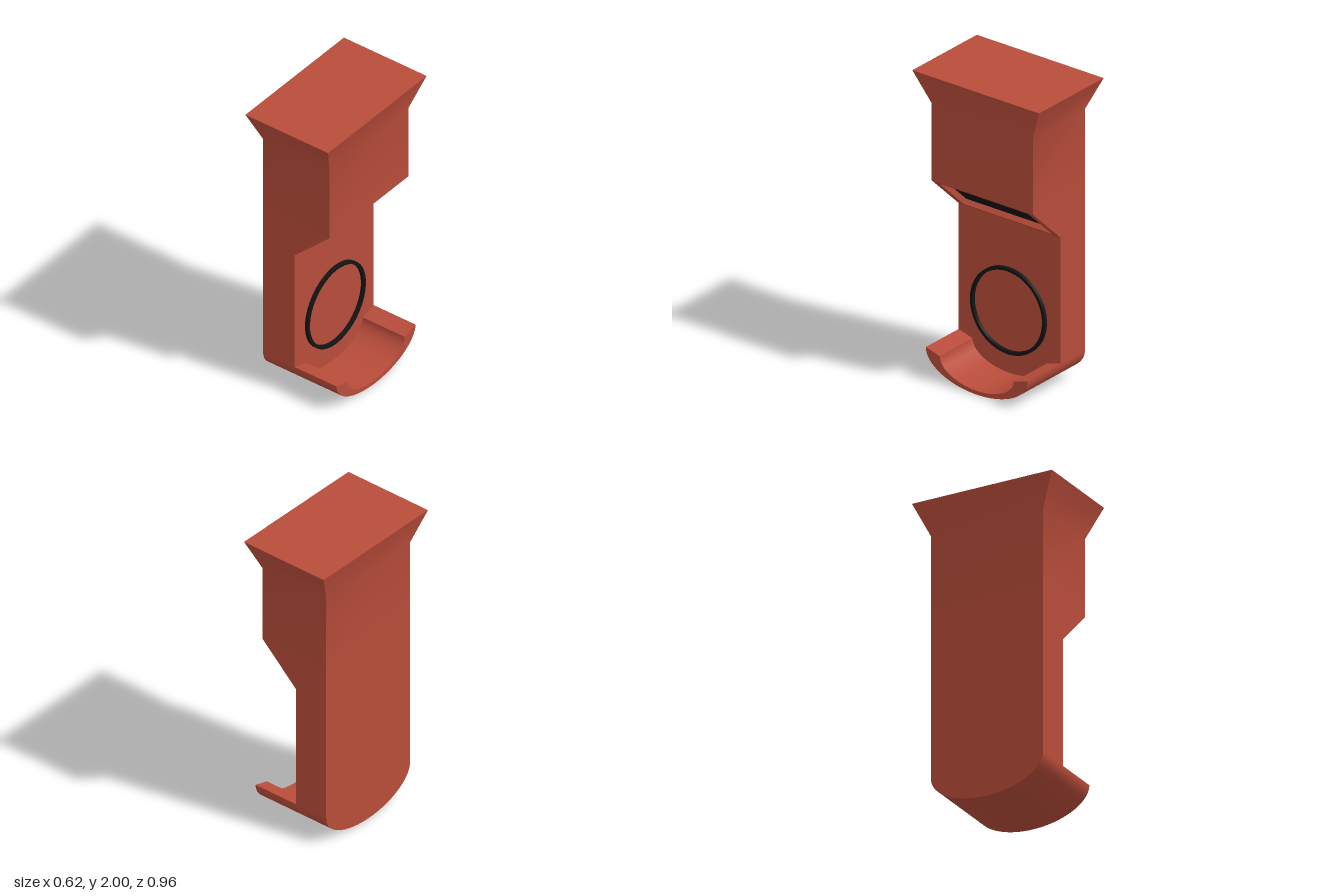
import * as THREE from 'three';
import { toCreasedNormals } from 'three/addons/utils/BufferGeometryUtils.js';

const red = new THREE.MeshStandardMaterial({ color: 0xb84c3a });
const black = new THREE.MeshStandardMaterial({ color: 0x141414 });
const HALF = 0.385;   // half width in z
const FACE = -0.015;  // x of the recessed front wall

const v = (x, y, z) => new THREE.Vector3(x, y, z);

// Geometry from a list of four-cornered faces
function fromQuads(quads) {
  const pts = quads.flatMap(([a, b, c, d]) => [a, b, c, a, c, d]);
  return toCreasedNormals(new THREE.BufferGeometry().setFromPoints(pts), 0.6);
}

// Extrude a (z, y) outline along x from x0 to x1
function extrudeX(shape, x0, x1, segments = 32) {
  const g = new THREE.ExtrudeGeometry(shape, { depth: x1 - x0, bevelEnabled: false, curveSegments: segments });
  g.rotateY(Math.PI / 2).translate(x0, 0, 0);
  return toCreasedNormals(g, 0.6);
}

function add(group, name, geometry, material) {
  const mesh = new THREE.Mesh(geometry, material);
  mesh.name = name;
  group.add(mesh);
}

export function createModel() {
  const group = new THREE.Group();
  group.name = 'dispenser';

  // Housing: rectangular sections [y, xMin, xMax, halfZ] lofted upwards
  const rings = [
    [0.2, -0.25, FACE, HALF],
    [1.03, -0.25, FACE, HALF],
    [1.28, -0.25, 0.247, HALF],
    [1.79, -0.25, 0.247, HALF],
    [2, -0.31, 0.31, 0.48],
  ].map(([y, x0, x1, z]) => [v(x1, y, z), v(x1, y, -z), v(x0, y, -z), v(x0, y, z)]);
  const quads = [rings[4]];
  for (let r = 0; r < 4; r++) {
    for (let k = 0; k < 4; k++) {
      if (r === 1 && k === 0) continue; // sloped face gets the recess
      const n = (k + 1) % 4;
      quads.push([rings[r][k], rings[r][n], rings[r + 1][n], rings[r + 1][k]]);
    }
  }

  // Sloped face: a frame, recess walls and the dark panel at their end
  const [lo, hi] = [rings[1], rings[2]];
  const outer = [lo[0], lo[1], hi[1], hi[0]];
  const slope = hi[0].clone().sub(lo[0]);
  const inward = v(-slope.y, slope.x, 0).normalize().multiplyScalar(0.035);
  const inner = [[0.06, 1], [0.06, -1], [0.94, -1], [0.94, 1]].map(([t, s]) =>
    lo[0].clone().addScaledVector(slope, t).setZ(s * 0.335));
  const deep = inner.map((p) => p.clone().add(inward));
  for (let k = 0; k < 4; k++) {
    const n = (k + 1) % 4;
    quads.push([outer[k], outer[n], inner[n], inner[k]]);
    quads.push([inner[k], inner[n], deep[n], deep[k]]);
  }
  add(group, 'housing', fromQuads(quads), red);
  add(group, 'outletPanel', fromQuads([deep]), black);

  // Rounded base below the housing
  const base = new THREE.Shape();
  base.absellipse(0, 0.2, HALF, 0.2, Math.PI, 2 * Math.PI, false);
  base.closePath();
  add(group, 'roundedBase', extrudeX(base, -0.25, FACE), red);

  // Curved tray with a hollowed inside
  const tray = new THREE.Shape();
  tray.absellipse(0, 0.2, HALF, 0.2, Math.PI, 2 * Math.PI, false);
  tray.lineTo(0.28, 0.17);
  tray.absellipse(0, 0.17, 0.28, 0.145, 2 * Math.PI, Math.PI, true);
  tray.closePath();
  add(group, 'tray', extrudeX(tray, FACE, 0.3), red);

  // Flat ring on the front wall
  const ring = new THREE.Shape().absarc(0, 0.44, 0.283, 0, 2 * Math.PI, false);
  ring.holes.push(new THREE.Path().absarc(0, 0.44, 0.262, 0, 2 * Math.PI, true));
  add(group, 'ring', extrudeX(ring, FACE, 0.007, 64), black);

  return group;
}
